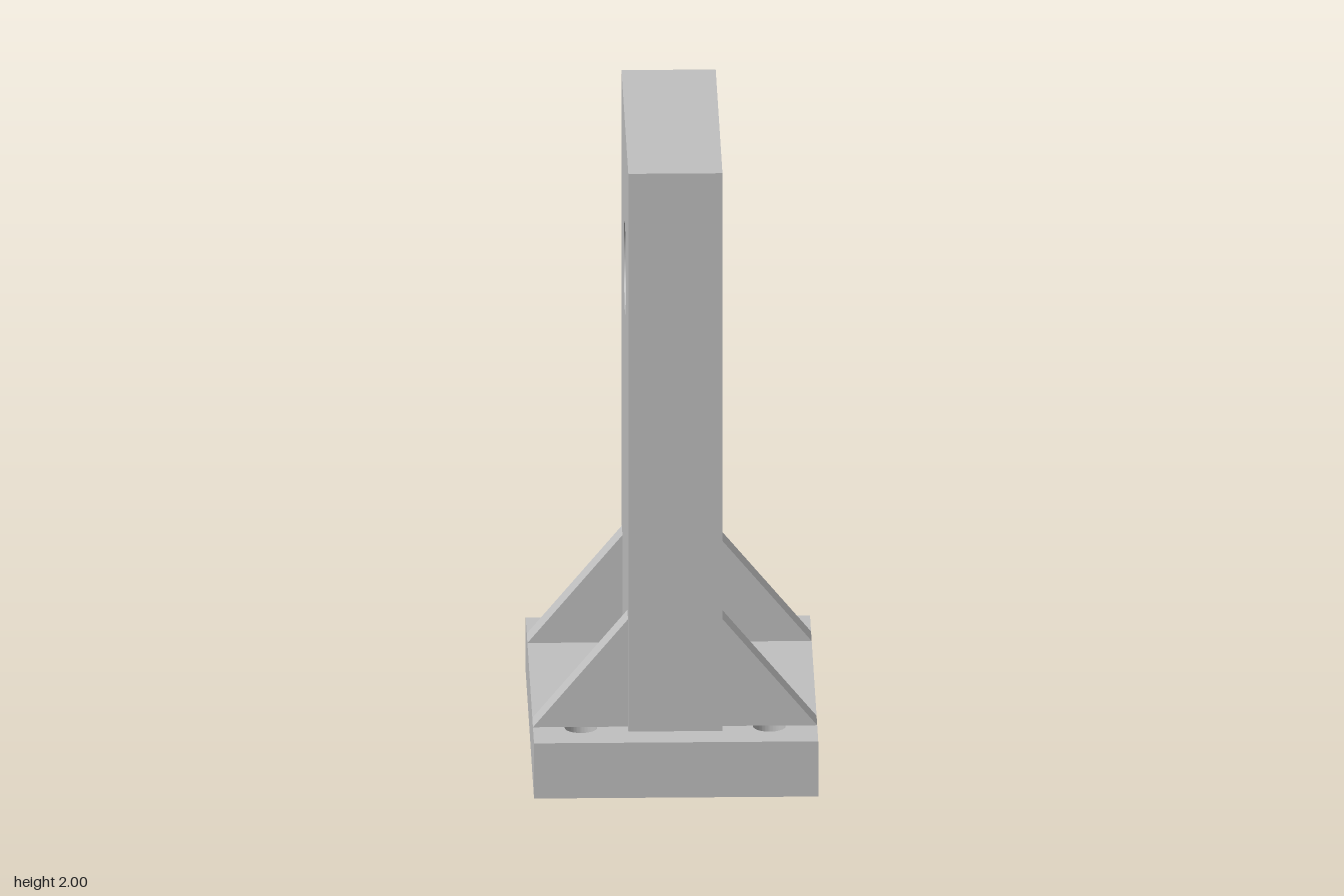
import * as THREE from 'three';
import { toCreasedNormals } from 'three/addons/utils/BufferGeometryUtils.js';

const steel = new THREE.MeshStandardMaterial({ color: 0xc0c0c0 });
steel.name = 'steel grey';

// Rectangle with round holes, each hole given as [x, y, radius]
function drilledRect(x0, y0, x1, y1, holes) {
  const shape = new THREE.Shape([
    new THREE.Vector2(x0, y0), new THREE.Vector2(x1, y0),
    new THREE.Vector2(x1, y1), new THREE.Vector2(x0, y1),
  ]);
  for (const [x, y, r] of holes) {
    shape.holes.push(new THREE.Path().absarc(x, y, r, 0, Math.PI * 2, true));
  }
  return shape;
}

function extrude(shape, depth) {
  return new THREE.ExtrudeGeometry(shape, { depth, bevelEnabled: false, curveSegments: 32 });
}

function addPart(group, name, geometry) {
  const mesh = new THREE.Mesh(toCreasedNormals(geometry, 0.6), steel);
  mesh.name = name;
  group.add(mesh);
}

export function createModel() {
  const model = new THREE.Group();
  model.name = 'mountingBracket';
  const baseTop = 0.18, halfBase = 0.4375, halfPlate = 0.145, boreY = 1.525;

  // Base slab with four bolt holes
  const bolts = [];
  for (const x of [-0.29, 0.29]) for (const z of [-0.44, 0.44]) bolts.push([x, z, 0.05]);
  const base = extrude(drilledRect(-halfBase, -0.583, halfBase, 0.583, bolts), baseTop);
  addPart(model, 'base', base.rotateX(-Math.PI / 2));

  // Upright plate in two layers: through bore, then counterbore with blind screw holes
  const counterDepth = 0.15;
  const bore = [[0, boreY, 0.145]];
  const pockets = [[0, boreY, 0.195], [0, 1.87, 0.06], [-0.3, 1.35, 0.06], [0.3, 1.35, 0.06]];
  const plateLayer = (name, holes, x0, x1) => {
    const layer = extrude(drilledRect(-0.48, baseTop, 0.48, 2, holes), x1 - x0);
    addPart(model, name, layer.rotateY(Math.PI / 2).translate(x0, 0, 0));
  };
  plateLayer('uprightBoreLayer', bore, -halfPlate, halfPlate - counterDepth);
  plateLayer('uprightCounterboreLayer', pockets, halfPlate - counterDepth, halfPlate);

  // Triangular gusset ribs on both faces of the upright
  for (const side of [-1, 1]) {
    for (const z of [-0.39, 0.39]) {
      const rib = new THREE.Shape([
        new THREE.Vector2(side * halfPlate, baseTop),
        new THREE.Vector2(side * halfBase, baseTop),
        new THREE.Vector2(side * halfPlate, 0.53),
      ]);
      const name = (z > 0 ? 'front' : 'back') + (side > 0 ? 'Left' : 'Right') + 'Gusset';
      addPart(model, name, extrude(rib, 0.088).translate(0, 0, z - 0.044));
    }
  }
  return model;
}
